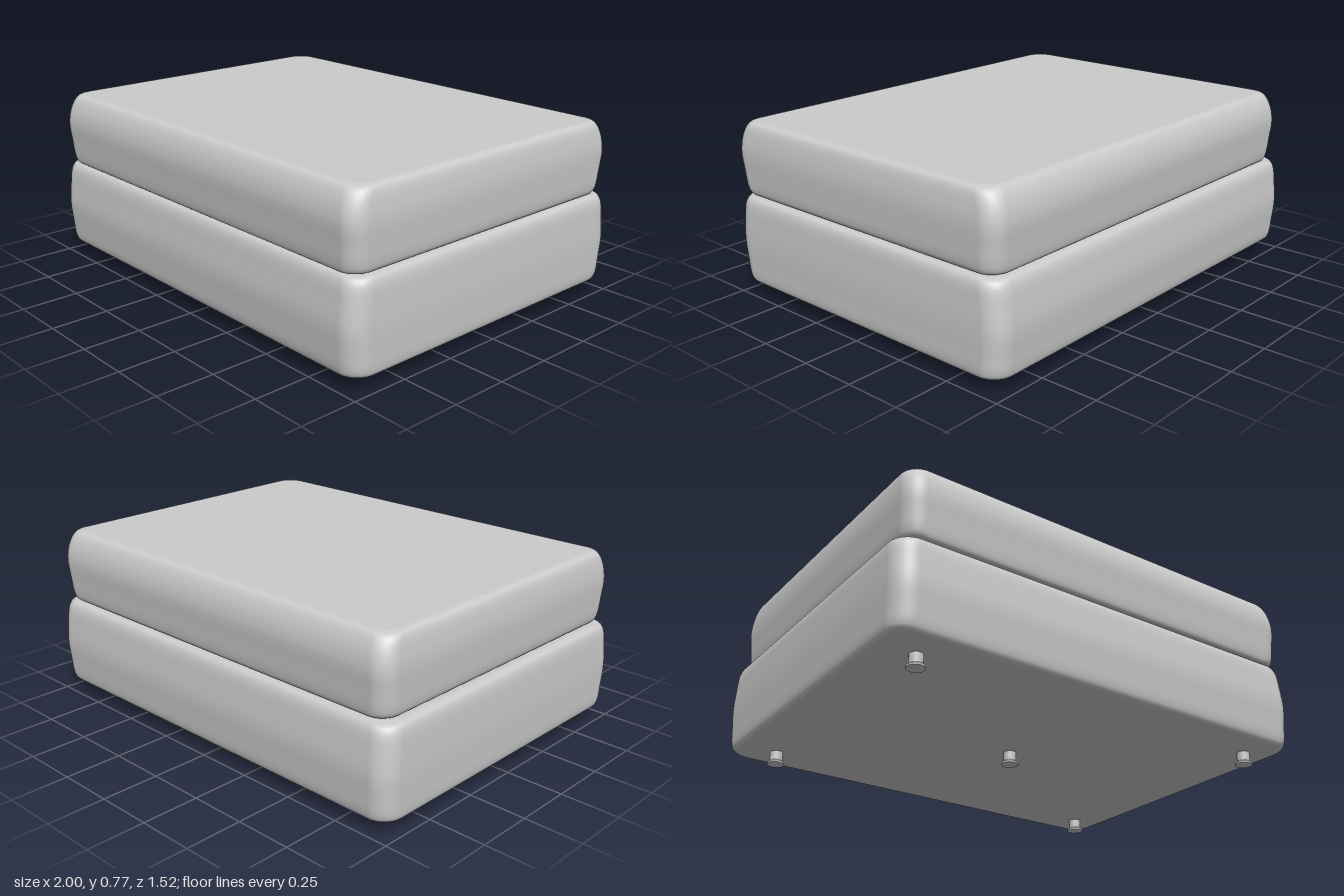
import * as THREE from 'three';

const material = new THREE.MeshStandardMaterial({ color: 0xcccccc, roughness: 0.8 });

// Outline of a rounded rectangle, counter-clockwise seen from above
function outline(hx, hz, r, steps = 8) {
  const pts = [];
  const corners = [[1, 1], [1, -1], [-1, -1], [-1, 1]];
  corners.forEach(([sx, sz], c) => {
    for (let i = 0; i <= steps; i++) {
      const a = Math.PI / 2 - (c + i / steps) * Math.PI / 2;
      // corner arcs run from +z to +x, then on round the back
      pts.push([sx * (hx - r) + r * Math.cos(a), sz * (hz - r) + r * Math.sin(a)]);
    }
  });
  return pts;
}

// Upholstered block: rounded rectangles stacked along a profile of [y, halfX, halfZ]
function cushion(name, profile, radius) {
  const curve = new THREE.CatmullRomCurve3(
    profile.map(([y, hx, hz]) => new THREE.Vector3(hx, y, hz)), false, 'centripetal');
  const levels = curve.getPoints((profile.length - 1) * 4);
  const pos = [], index = [];
  let n = 0;
  levels.forEach((p) => {
    const ring = outline(p.x, p.z, radius);
    n = ring.length;
    ring.forEach(([x, z]) => pos.push(x, p.y, z));
  });
  for (let j = 0; j < levels.length - 1; j++) {
    for (let i = 0; i < n; i++) {
      const a = j * n + i, b = j * n + (i + 1) % n;
      index.push(a, b, b + n, a, b + n, a + n);
    }
  }
  // Flat top and bottom with their own vertices
  [levels[0], levels[levels.length - 1]].forEach((p, top) => {
    const start = pos.length / 3;
    outline(p.x, p.z, radius).forEach(([x, z]) => pos.push(x, p.y, z));
    pos.push(0, p.y, 0);
    for (let i = 0; i < n; i++) {
      const a = start + i, b = start + (i + 1) % n;
      if (top) index.push(start + n, a, b);
      else index.push(start + n, b, a);
    }
  });
  const geo = new THREE.BufferGeometry();
  geo.setAttribute('position', new THREE.Float32BufferAttribute(pos, 3));
  geo.setIndex(index);
  geo.computeVertexNormals();
  const mesh = new THREE.Mesh(geo, material);
  mesh.name = name;
  return mesh;
}

export function createModel() {
  const group = new THREE.Group();
  group.name = 'ottoman';

  // Lower upholstered body
  group.add(cushion('base', [
    [0.055, 0.962, 0.712], [0.061, 0.982, 0.732], [0.08, 0.992, 0.744],
    [0.16, 0.997, 0.753], [0.25, 1.0, 0.759], [0.34, 0.998, 0.752],
    [0.415, 0.993, 0.742], [0.441, 0.982, 0.728], [0.449, 0.958, 0.700],
  ], 0.085));

  // Loose seat cushion, set slightly off centre
  const seat = cushion('seatCushion', [
    [0.449, 0.935, 0.700], [0.455, 0.953, 0.717], [0.475, 0.963, 0.725],
    [0.56, 0.971, 0.734], [0.64, 0.975, 0.740], [0.70, 0.970, 0.731],
    [0.745, 0.961, 0.712], [0.764, 0.950, 0.696], [0.771, 0.928, 0.674],
  ], 0.075);
  seat.position.set(0.01, 0, 0.01);
  group.add(seat);

  // Turned feet: flared pad under a short round stem
  const footProfile = [
    [0, 0], [0.037, 0], [0.037, 0.008], [0.028, 0.015], [0.028, 0.07], [0, 0.07],
  ];
  const points = [];
  footProfile.forEach(([r, y], i) => {
    points.push(new THREE.Vector2(r, y));
    // doubled points keep the edges crisp
    if (i > 0 && i < footProfile.length - 1) points.push(new THREE.Vector2(r, y + 0.0001));
  });
  const footGeo = new THREE.LatheGeometry(points, 24);
  [[-0.82, 0.59], [0.845, 0.59], [-0.82, -0.587], [0.845, -0.587], [0.012, 0.002]]
    .forEach(([x, z], i) => {
      const foot = new THREE.Mesh(footGeo, material);
      foot.name = i < 4 ? 'cornerFoot' : 'centreFoot';
      foot.position.set(x, 0, z);
      group.add(foot);
    });

  return group;
}
